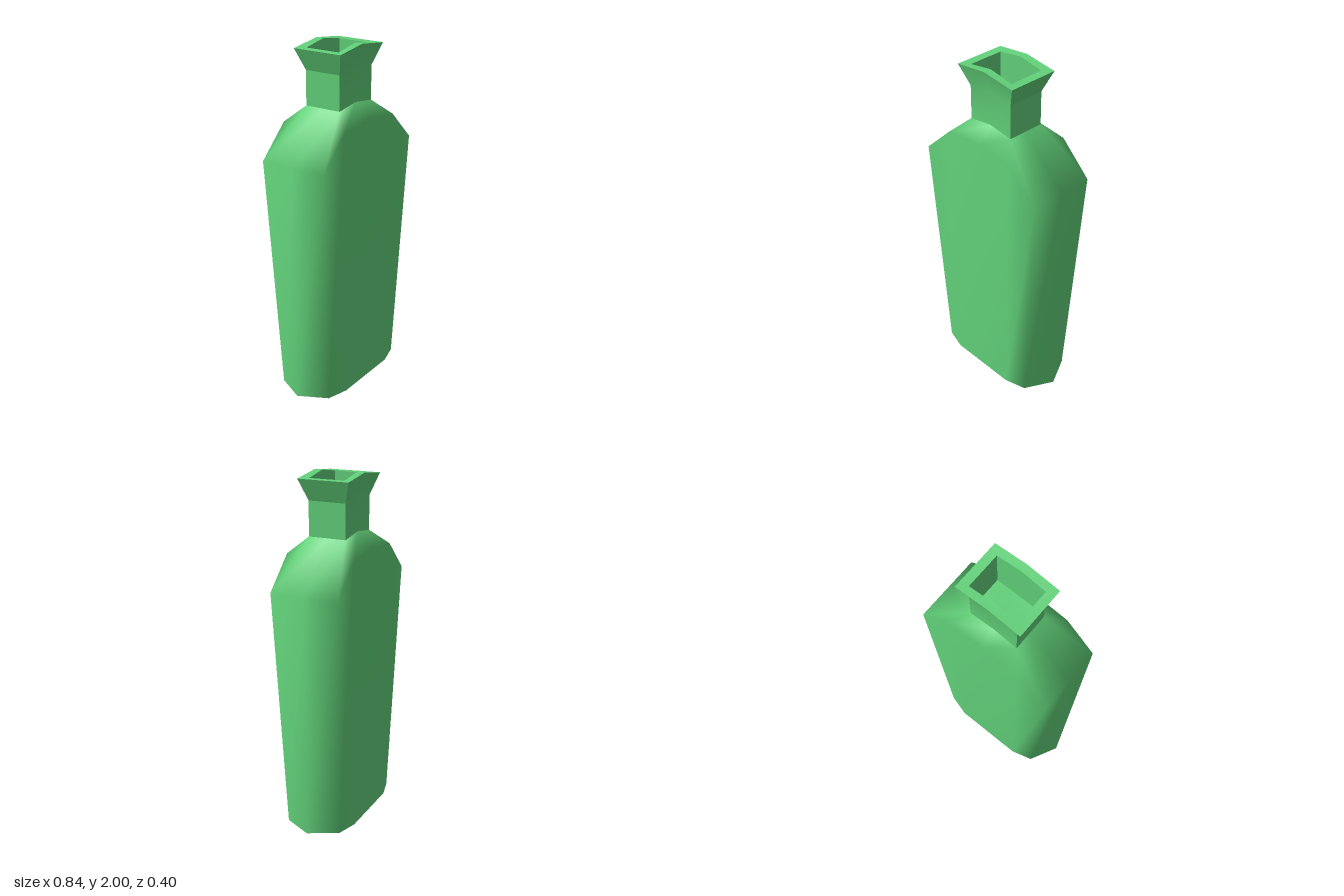
import * as THREE from 'three';
import { mergeVertices, toCreasedNormals } from 'three/addons/utils/BufferGeometryUtils.js';

// Mirror one quadrant of a cross-section (from the +x side to the +z centre) into a full ring
function ring(quadrant) {
  const back = [...quadrant].reverse();
  const flip = (pts, sx, sz) => pts.map(([x, y, z]) => [x * sx, y, z * sz]);
  return [
    ...quadrant,
    ...flip(back.filter((p) => p[0] !== 0), -1, 1),
    ...flip(quadrant.filter((p) => p[2] !== 0), -1, -1),
    ...flip(back.filter((p) => p[0] !== 0 && p[2] !== 0), 1, -1),
  ];
}

function fromTriangles(points) {
  const geometry = new THREE.BufferGeometry();
  geometry.setAttribute('position', new THREE.Float32BufferAttribute(points.flat(), 3));
  return geometry;
}

// Skin a stack of rings; walls face outward when the stack goes up
function loft(rings) {
  const tris = [];
  for (let r = 0; r < rings.length - 1; r++) {
    const lo = rings[r], hi = rings[r + 1], n = lo.length;
    for (let i = 0; i < n; i++) {
      const j = (i + 1) % n;
      tris.push(lo[i], hi[i], lo[j], lo[j], hi[i], hi[j]);
    }
  }
  return tris;
}

// Fan that closes a ring, facing up or down
function cap(points, up) {
  const tris = [];
  for (let i = 1; i < points.length - 1; i++) {
    const [a, b] = up ? [points[i + 1], points[i]] : [points[i], points[i + 1]];
    tris.push(points[0], a, b);
  }
  return tris;
}

export function createModel() {
  const model = new THREE.Group();
  model.name = 'bottle';
  const glass = new THREE.MeshStandardMaterial({ color: 0x62d27a });
  glass.name = 'green glass';

  const add = (name, geometry) => {
    const mesh = new THREE.Mesh(geometry, glass);
    mesh.name = name;
    model.add(mesh);
  };

  // Flask body: chamfered foot, square shoulders, slopes up to the neck
  const foot = ring([[0.42, 0, 0], [0.335, 0, 0.165], [0.21, 0, 0.2], [0, 0, 0.2]]);
  const shoulder = ring([[0.42, 1.4, 0], [0.42, 1.4, 0.2], [0.235, 1.575, 0.2], [0, 1.6, 0.2]]);
  const collar = ring([[0.15, 1.66, 0], [0.15, 1.66, 0.11], [0.15, 1.66, 0.11], [0, 1.68, 0.11]]);
  const body = mergeVertices(fromTriangles(loft([foot, shoulder, collar])));
  body.computeVertexNormals();
  add('body', body);

  // Flat underside
  const base = fromTriangles(cap(foot, false));
  base.computeVertexNormals();
  add('base', base);

  // Neck with flared, slightly arched lip and a rectangular mouth
  const section = (x, z, y, arch) => ring([[x, y, z], [0, y + arch, z]]);
  const neckRings = [
    section(0.15, 0.11, 1.66, 0.02),
    section(0.15, 0.11, 1.855, 0.02),
    section(0.2, 0.15, 1.975, 0.025),
    section(0.15, 0.104, 1.975, 0.025),
    section(0.15, 0.104, 1.7, 0.02),
  ];
  const neck = fromTriangles([...loft(neckRings), ...cap(neckRings[4], true)]);
  add('neck', toCreasedNormals(neck, THREE.MathUtils.degToRad(20)));

  return model;
}
